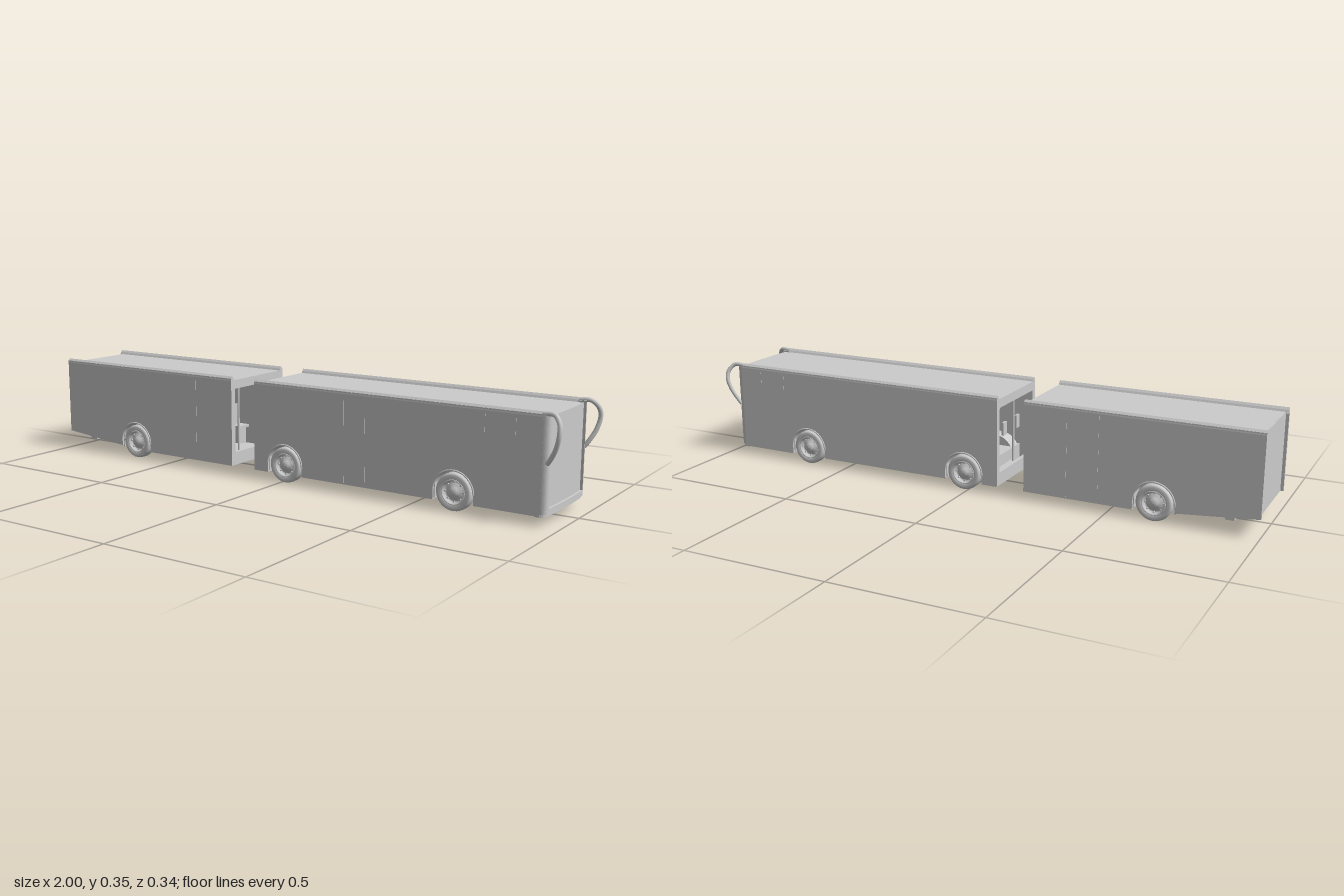
import * as THREE from 'three';

const WHEEL_Y = 0.062, ARCH_R = 0.07, SIDE = 0.151;

export function createModel() {
  const root = new THREE.Group();
  root.name = 'articulatedBus';
  const grey = new THREE.MeshStandardMaterial({ color: 0xcccccc });
  const thin = new THREE.MeshStandardMaterial({ color: 0xcccccc, side: THREE.DoubleSide });

  const add = (parent, name, geo, x = 0, y = 0, z = 0, mat = grey) => {
    const m = new THREE.Mesh(geo, mat);
    m.name = name;
    m.position.set(x, y, z);
    parent.add(m);
    return m;
  };
  // Box given by its limits
  const box = (parent, name, x0, x1, y0, y1, z0, z1) =>
    add(parent, name, new THREE.BoxGeometry(x1 - x0, y1 - y0, z1 - z0),
      (x0 + x1) / 2, (y0 + y1) / 2, (z0 + z1) / 2);
  const polygon = pts => new THREE.Shape(pts.map(p => new THREE.Vector2(...p)));
  const extrude = (shape, depth) =>
    new THREE.ExtrudeGeometry(shape, { depth, bevelEnabled: false, curveSegments: 24 });

  // Side wall outline with round wheel cut-outs along its lower edge
  function sideShape(x0, x1, wheels, tailY) {
    const s = new THREE.Shape();
    s.moveTo(x0, 0.337);
    s.lineTo(x0, tailY);
    for (const w of wheels) {
      s.lineTo(w - ARCH_R, tailY > 0.03 ? 0.04 : 0.03);
      s.lineTo(w - ARCH_R, WHEEL_Y);
      s.absarc(w, WHEEL_Y, ARCH_R, Math.PI, 0, true);
      s.lineTo(w + ARCH_R, 0.03);
    }
    s.lineTo(x1, 0.03);
    s.lineTo(x1, 0.337);
    return s;
  }

  // Tyre, dished rim, hub and bolts; outer face points along +z
  const turned = pts => new THREE.LatheGeometry(pts.map(p => new THREE.Vector2(...p)), 36).rotateX(Math.PI / 2);
  const tyreGeo = turned([[0.04, -0.02], [0.054, -0.02], [0.059, -0.017], [0.061, -0.01],
    [0.061, 0.01], [0.059, 0.017], [0.054, 0.02], [0.042, 0.02], [0.04, 0.016]]);
  const rimGeo = turned([[0.001, -0.012], [0.041, -0.012], [0.041, 0.018], [0.037, 0.018],
    [0.034, 0.006], [0.028, 0.006], [0.024, 0.012], [0.016, 0.012], [0.014, 0.02], [0.001, 0.021]]);
  const boltGeo = new THREE.CylinderGeometry(0.0028, 0.0028, 0.006, 6).rotateX(Math.PI / 2);
  function wheel(parent, x, side) {
    const g = new THREE.Group();
    g.name = 'wheel';
    add(g, 'tyre', tyreGeo, 0, 0, 0, thin);
    add(g, 'rim', rimGeo, 0, 0, 0, thin);
    for (let i = 0; i < 8; i++) {
      const a = i * Math.PI / 4;
      add(g, 'wheelBolt', boltGeo, 0.031 * Math.cos(a), 0.031 * Math.sin(a), 0.009);
    }
    g.position.set(x, WHEEL_Y, side * 0.132);
    if (side < 0) g.rotation.y = Math.PI;
    parent.add(g);
  }

  // Wheel pair with arch lips, inner wells and axle
  const wellGeo = new THREE.CylinderGeometry(ARCH_R, ARCH_R, 0.056, 24, 1, true, 0, Math.PI)
    .rotateX(Math.PI / 2).rotateZ(Math.PI / 2);
  wellGeo.computeBoundingBox();
  if (wellGeo.boundingBox.max.y < 0.01) wellGeo.rotateZ(Math.PI);
  const lipGeo = new THREE.TorusGeometry(ARCH_R, 0.003, 8, 28, Math.PI);
  const wellWallGeo = new THREE.CircleGeometry(ARCH_R, 24, 0, Math.PI);
  function axleSet(parent, x) {
    for (const s of [1, -1]) {
      wheel(parent, x, s);
      add(parent, 'archLip', lipGeo, x, WHEEL_Y, s * SIDE);
      add(parent, 'wheelWell', wellGeo, x, WHEEL_Y, s * 0.12, thin);
      add(parent, 'wheelWellWall', wellWallGeo, x, WHEEL_Y, s * 0.092, thin);
    }
    add(parent, 'axle', new THREE.CylinderGeometry(0.011, 0.011, 0.24, 16).rotateX(Math.PI / 2), x, WHEEL_Y, 0);
    add(parent, 'differential', new THREE.SphereGeometry(0.022, 16, 12), x, WHEEL_Y, 0);
    box(parent, 'raisedFloor', x - ARCH_R, x + ARCH_R, 0.09, 0.096, -0.092, 0.092);
    for (const s of [1, -1]) {
      const e = x + s * ARCH_R;
      box(parent, 'floorRiser', e - 0.003, e + 0.003, 0.034, 0.096, -0.142, 0.142);
      box(parent, 'axleBeam', x - ARCH_R, x + ARCH_R, 0.075, 0.085, s * 0.05 - 0.006, s * 0.05 + 0.006);
    }
  }

  function seat(parent, x, z) {
    box(parent, 'seatBase', x - 0.015, x + 0.015, 0.04, 0.105, z - 0.02, z + 0.02);
    box(parent, 'seatCushion', x - 0.024, x + 0.024, 0.105, 0.115, z - 0.027, z + 0.027);
    box(parent, 'seatBack', x - 0.028, x - 0.02, 0.11, 0.19, z - 0.027, z + 0.027);
  }

  // Hollow body section shared by both halves
  const railShape = polygon([[-0.1515, 0.33], [-0.132, 0.326], [-0.138, 0.338], [-0.144, 0.345], [-0.1505, 0.338]]);
  function section(name, x0, x1, wheels, tailY, roof) {
    const g = new THREE.Group();
    g.name = name;
    root.add(g);
    const wall = extrude(sideShape(x0, x1, wheels, tailY), 0.008);
    const rail = extrude(railShape, x1 - x0).rotateY(Math.PI / 2);
    add(g, 'leftWall', wall, 0, 0, SIDE - 0.008);
    add(g, 'rightWall', wall, 0, 0, -SIDE);
    add(g, 'roofRail', rail, x0, 0, 0);
    add(g, 'roofRail', rail.clone().rotateY(Math.PI), x1, 0, 0);
    box(g, 'roof', roof[0], roof[1], 0.32, 0.331, -0.143, 0.143);
    for (const w of wheels) axleSet(g, w);
    return g;
  }
  const floor = (g, pts) => add(g, 'floor', extrude(polygon(pts), 0.286), 0, 0, -0.143);

  // Open joint end: frame, low sill, grab poles and gangway disc
  function jointEnd(g, x, dir) {
    const a = Math.min(x, x - dir * 0.014), b = Math.max(x, x - dir * 0.014);
    box(g, 'jointSill', a, b, 0.03, 0.075, -0.143, 0.143);
    box(g, 'jointHeader', a, b, 0.3, 0.322, -0.143, 0.143);
    for (const s of [1, -1]) {
      box(g, 'jointPost', a, b, 0.07, 0.31, s * 0.137 - 0.007, s * 0.137 + 0.007);
      add(g, 'grabPole', new THREE.CylinderGeometry(0.004, 0.004, 0.28, 10), x - dir * 0.04, 0.18, s * 0.06);
    }
    add(g, 'gangwayDisc', new THREE.CylinderGeometry(0.085, 0.085, 0.01, 32), x - dir * 0.09, 0.05, 0);
  }

  // Thin vertical panel joint
  const seam = (g, side, x, y0, y1) =>
    box(g, 'panelSeam', x - 0.0015, x + 0.0015, y0, y1, side * SIDE - 0.001, side * SIDE + 0.001);

  // Rear section with sloping tail
  const rear = section('rearSection', -1, -0.21, [-0.66], 0.065, [-0.988, -0.21]);
  floor(rear, [[-0.985, 0.064], [-0.73, 0.04], [-0.73, 0.052], [-0.985, 0.076]]);
  floor(rear, [[-0.59, 0.03], [-0.21, 0.03], [-0.21, 0.042], [-0.59, 0.042]]);
  box(rear, 'rearPanel', -0.99, -0.98, 0.064, 0.33, -0.143, 0.143);
  jointEnd(rear, -0.21, 1);
  seam(rear, 1, -0.37, 0.035, 0.33);
  seam(rear, -1, -0.36, 0.035, 0.33);
  seam(rear, -1, -0.47, 0.035, 0.33);
  for (const x of [-0.9, -0.8, -0.48, -0.38]) for (const z of [-0.11, 0.11]) seat(rear, x, z);

  // Front section
  const front = section('frontSection', -0.112, 0.935, [0.015, 0.65], 0.03, [-0.112, 0.948]);
  floor(front, [[-0.112, 0.03], [-0.055, 0.03], [-0.055, 0.042], [-0.112, 0.042]]);
  floor(front, [[0.085, 0.03], [0.58, 0.03], [0.58, 0.042], [0.085, 0.042]]);
  floor(front, [[0.72, 0.03], [0.94, 0.03], [0.94, 0.042], [0.72, 0.042]]);
  jointEnd(front, -0.112, -1);
  for (const z of [-0.1, 0, 0.1]) box(front, 'jointBracket', -0.118, -0.11, 0.2, 0.245, z - 0.012, z + 0.012);
  seam(front, 1, 0.25, 0.035, 0.33);
  seam(front, 1, 0.33, 0.035, 0.33);
  for (const x of [0.75, 0.85]) for (const s of [1, -1]) seam(front, s, x, 0.26, 0.32);
  for (const x of [0.15, 0.25, 0.36, 0.47, 0.8]) for (const z of [-0.11, 0.11]) seat(front, x, z);

  // Nose: plan outlines raised along y
  const raise = (shape, y0, y1) => extrude(shape, y1 - y0).rotateX(-Math.PI / 2).translate(0, y0, 0);
  const bumper = new THREE.Shape();
  bumper.moveTo(0.925, -SIDE);
  bumper.lineTo(0.935, -SIDE);
  bumper.quadraticCurveTo(0.955, -SIDE, 0.957, -0.13);
  bumper.quadraticCurveTo(0.965, 0, 0.957, 0.13);
  bumper.quadraticCurveTo(0.955, SIDE, 0.935, SIDE);
  bumper.lineTo(0.925, SIDE);
  add(front, 'bumper', raise(bumper, 0.036, 0.054));
  const bumperFoot = add(front, 'bumperFoot', raise(bumper, 0.028, 0.036));
  bumperFoot.position.x = -0.006;
  const screen = polygon([[0.935, -0.14], [0.948, -0.135], [0.952, -0.06], [0.952, 0.06], [0.948, 0.135], [0.935, 0.14]]);
  add(front, 'windscreen', raise(screen, 0.05, 0.331));

  // Corner pillars and hooked mirror arms
  const arm = [[0.93, 0.338, 0.143], [0.968, 0.338, 0.146], [0.989, 0.315, 0.158], [0.992, 0.285, 0.164],
    [0.982, 0.245, 0.158], [0.965, 0.212, 0.149], [0.95, 0.19, 0.144]];
  for (const s of [1, -1]) {
    const pillar = new THREE.Shape();
    pillar.moveTo(0.93, s * 0.132);
    pillar.lineTo(0.957, s * 0.132);
    pillar.quadraticCurveTo(0.956, s * SIDE, 0.933, s * SIDE);
    add(front, 'cornerPillar', raise(pillar, 0.05, 0.337));
    const path = new THREE.CatmullRomCurve3(arm.map(([x, y, z]) => new THREE.Vector3(x, y, s * z)));
    add(front, 'mirrorArm', new THREE.TubeGeometry(path, 40, 0.0075, 10));
  }
  return root;
}
